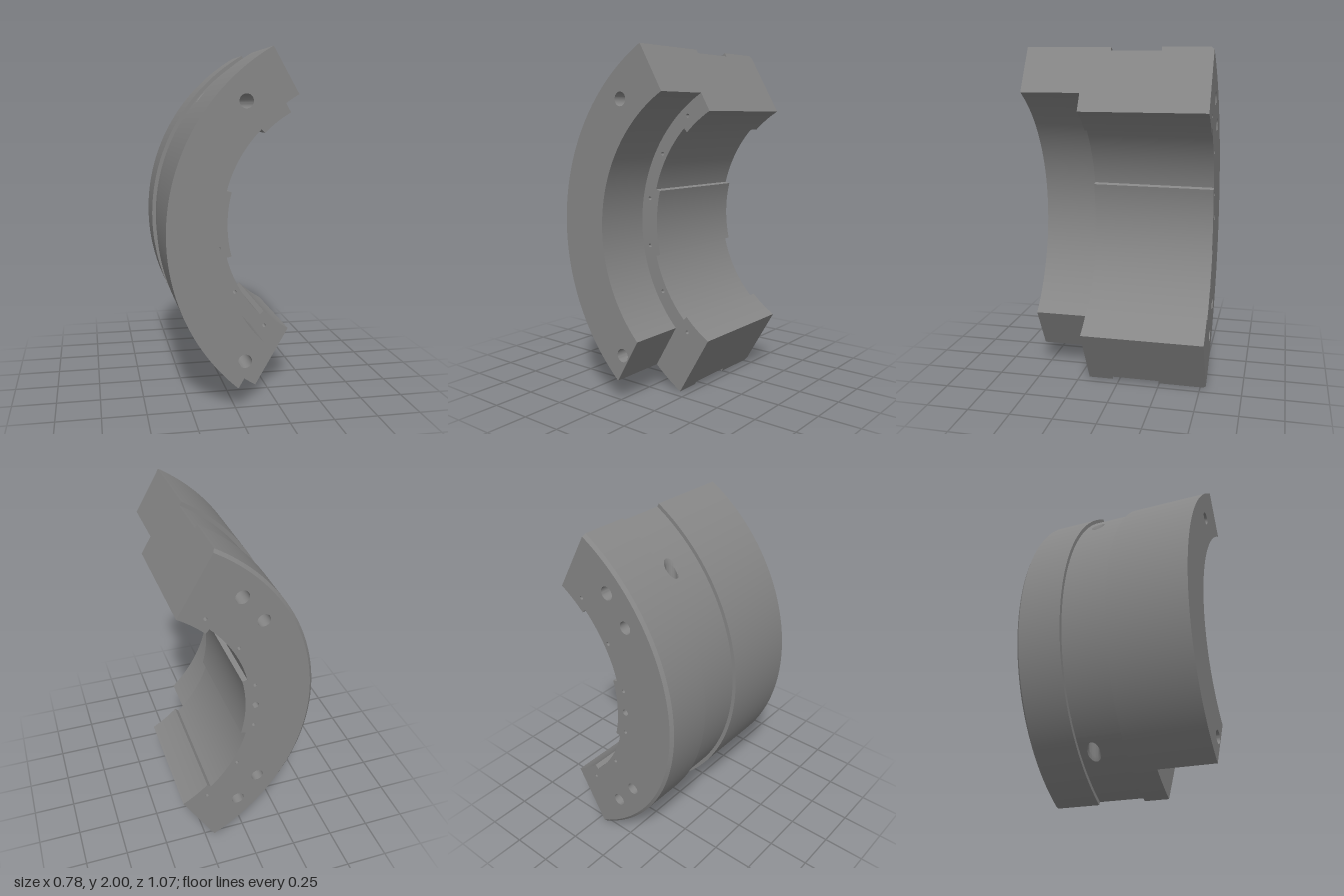
import * as THREE from 'three';
import { toCreasedNormals } from 'three/addons/utils/BufferGeometryUtils.js';

const CX = 0.767, CY = 1;                        // axis of the curved segment
const R = 1.155, GROOVE = 1.132, SEAT = 0.867, PAD = 0.753, RELIEF = 0.783;
const FRONT = 0.535, LEDGE = 0.19, BACK = -0.535, G0 = -0.246, G1 = 0.042, CH = 0.017;
const END = 60, CUT = 0.22;
const rad = THREE.MathUtils.degToRad, deg = THREE.MathUtils.radToDeg;

// point from radius, angle in degrees above the -x direction, and z
const P = (r, a, z = 0) =>
  new THREE.Vector3(CX - r * Math.cos(rad(a)), CY + r * Math.sin(rad(a)), z);
const cutAngle = r => -(END - deg(Math.asin(CUT / r)));
const atZ = (pts, z) => pts.map(p => new THREE.Vector3(p.x, p.y, z));

function arc(r, a0, a1, n = Math.max(2, Math.ceil(Math.abs(a1 - a0) / 1.25))) {
  return Array.from({ length: n + 1 }, (_, i) => P(r, a0 + (a1 - a0) * i / n));
}

function circle(c, r, n = 32) {
  return Array.from({ length: n + 1 }, (_, i) => {
    const t = i / n * Math.PI * 2;
    return new THREE.Vector3(c.x + r * Math.cos(t), c.y + r * Math.sin(t), 0);
  });
}

// skin through rows of equal point count
function loft(rows, flip = false) {
  const n = rows[0].length, index = [];
  for (let i = 0; i < rows.length - 1; i++) {
    for (let j = 0; j < n - 1; j++) {
      const a = i * n + j, b = a + 1, d = a + n, c = d + 1;
      if (flip) index.push(a, c, b, a, d, c);
      else index.push(a, b, c, a, c, d);
    }
  }
  const g = new THREE.BufferGeometry().setFromPoints(rows.flat());
  g.setIndex(index);
  return toCreasedNormals(g, 0.5);
}

// flat face from an outline with holes, placed by a mapping
function face(outline, holes, map, flip = false) {
  const shape = new THREE.Shape(outline.map(p => new THREE.Vector2(p.x, p.y)));
  for (const h of holes) {
    shape.holes.push(new THREE.Path(h.slice(0, -1).map(p => new THREE.Vector2(p.x, p.y))));
  }
  const src = new THREE.ShapeGeometry(shape), pos = src.attributes.position, pts = [];
  for (let i = 0; i < pos.count; i++) pts.push(map(pos.getX(i), pos.getY(i)));
  const g = new THREE.BufferGeometry().setFromPoints(pts);
  const index = Array.from(src.index.array);
  g.setIndex(flip ? index.reverse() : index);
  g.computeVertexNormals();
  return g;
}

// bore outline: three raised pads with two reliefs between angles a and b
const boreOutline = (a, b) => [
  ...arc(PAD, -END, -b, 12), ...arc(RELIEF, -b, -a, 24), ...arc(PAD, -a, a, 24),
  ...arc(RELIEF, a, b, 24), ...arc(PAD, b, END, 12),
];

export function createModel() {
  const group = new THREE.Group();
  const material = new THREE.MeshStandardMaterial({ color: 0x868686, side: THREE.DoubleSide });
  const add = (name, geometry) => {
    const mesh = new THREE.Mesh(geometry, material);
    mesh.name = name;
    group.add(mesh);
  };
  const flat = z => (x, y) => new THREE.Vector3(x, y, z);

  // bore, its reliefs widening slightly toward the back
  const boreFront = boreOutline(14.7, 45.2), boreBack = boreOutline(14.1, 45.7);
  add('bore', loft([atZ(boreBack, BACK), atZ(boreFront, LEDGE)]));

  // hole positions
  const bolts = [-44.8, 44.8].map(a => circle(P(1.015, a), 0.039));
  const dowels = [-33.4, 33.4].map(a => ({ c: P(1.008, a), r: 0.037, depth: 0.3 }));
  const pins = [-50, -30, -10, 10, 30, 50].map(a => ({ c: P(0.818, a), r: 0.011, depth: 0.08 }));
  const oilInlet = { c: P(0.812, 0), r: 0.02, depth: 0.25 };
  const backHoles = [...dowels, ...pins, oilInlet];

  // flat faces across the axis
  add('frontFace', face(
    [...arc(SEAT, cutAngle(SEAT), END), ...arc(R, END, cutAngle(R))], bolts, flat(FRONT)));
  add('ledgeFace', face(
    [...boreFront, ...arc(SEAT, END, cutAngle(SEAT)), ...arc(R, cutAngle(R), -END)],
    pins.map(h => circle(h.c, h.r)), flat(LEDGE)));
  add('backFace', face(
    [...boreBack, ...arc(R - CH, END, -END)],
    [...bolts, ...backHoles.map(h => circle(h.c, h.r))], flat(BACK), true));

  // through holes and blind drilled holes
  bolts.forEach(b => add('boltHole', loft([atZ(b, FRONT), atZ(b, BACK)])));
  const drill = (name, h, z, dir) => add(name, loft([
    atZ(circle(h.c, h.r), z),
    atZ(circle(h.c, h.r), z + dir * h.depth),
    atZ(circle(h.c, 0.0005), z + dir * (h.depth + h.r * 0.5)),
  ], dir > 0));
  pins.forEach(h => drill('ledgePinHole', h, LEDGE, -1));
  backHoles.forEach(h => drill('backHole', h, BACK, 1));

  // outer skin on both sides of the groove
  const sweep = (profile, a0, a1) =>
    loft(profile.map(([r, z]) => atZ(arc(r, a0, a1), z)), true);
  add('outerRear', sweep([[R - CH, BACK], [R, BACK + CH], [R, G0], [GROOVE, G0]], -END, END));
  const middle = [[GROOVE, G1], [R, G1], [R, LEDGE]];
  add('outerLowerEnd', sweep(middle, -END, cutAngle(R)));
  add('outerFront', sweep([...middle, [R, FRONT]], cutAngle(R), END));
  const seat = arc(SEAT, cutAngle(SEAT), END);
  add('frontSeat', loft([atZ(seat, LEDGE), atZ(seat, FRONT)]));

  // groove floor, left open where the vertical duct breaks through
  const DX = 0.84, DZ = -0.16, RIM = 0.041, DUCT = 0.032, HALF = 5;
  const mid = deg(Math.acos(DX / GROOVE));
  for (const [a0, a1] of [[-END, -mid - HALF], [-mid + HALF, mid - HALF], [mid + HALF, END]]) {
    add('grooveFloor', sweep([[GROOVE, G0], [GROOVE, G1]], a0, a1));
  }
  const N = 48, turns = Array.from({ length: N + 1 }, (_, i) => i / N * Math.PI * 2);
  for (const side of [-1, 1]) {
    const rows = [0, 0.25, 0.5, 0.75, 1].map(t => turns.map(w => {
      const u = Math.cos(w), v = Math.sin(w), m = Math.max(Math.abs(u), Math.abs(v));
      const rim = side * deg(Math.acos((DX - side * RIM * u) / GROOVE));
      const edge = side * mid + HALF * u / m;
      const z0 = DZ + RIM * v, z1 = (G0 + G1) / 2 + (G1 - G0) / 2 * v / m;
      return P(GROOVE, rim + (edge - rim) * t, z0 + (z1 - z0) * t);
    }));
    add('ductSurround', loft(rows));
  }

  // vertical duct with a countersunk mouth at each end
  const ductRow = (r, side, sink) => turns.map(w => {
    const x = -DX + r * Math.cos(w);
    const y = Math.sqrt(GROOVE * GROOVE - x * x) - sink;
    return new THREE.Vector3(CX + x, CY + side * y, DZ + r * Math.sin(w));
  });
  add('duct', loft([
    ductRow(RIM, 1, 0), ductRow(DUCT, 1, 0.02), ductRow(DUCT, -1, 0.02), ductRow(RIM, -1, 0),
  ], true));

  // end faces, the lower one stopping at the ledge
  const rear = [[PAD, BACK], [R - CH, BACK], [R, BACK + CH], [R, G0], [GROOVE, G0], [GROOVE, G1], [R, G1]];
  const toPts = list => list.map(([x, y]) => new THREE.Vector2(x, y));
  add('upperEndFace', face(
    toPts([...rear, [R, FRONT], [SEAT, FRONT], [SEAT, LEDGE], [PAD, LEDGE]]), [],
    (r, z) => P(r, END, z)));
  add('lowerEndFace', face(
    toPts([...rear, [R, LEDGE], [PAD, LEDGE]]), [], (r, z) => P(r, -END, z), true));
  add('frontCutFace', loft([LEDGE, FRONT].map(z =>
    [P(SEAT, cutAngle(SEAT), z), P(R, cutAngle(R), z)]), true));

  return group;
}
